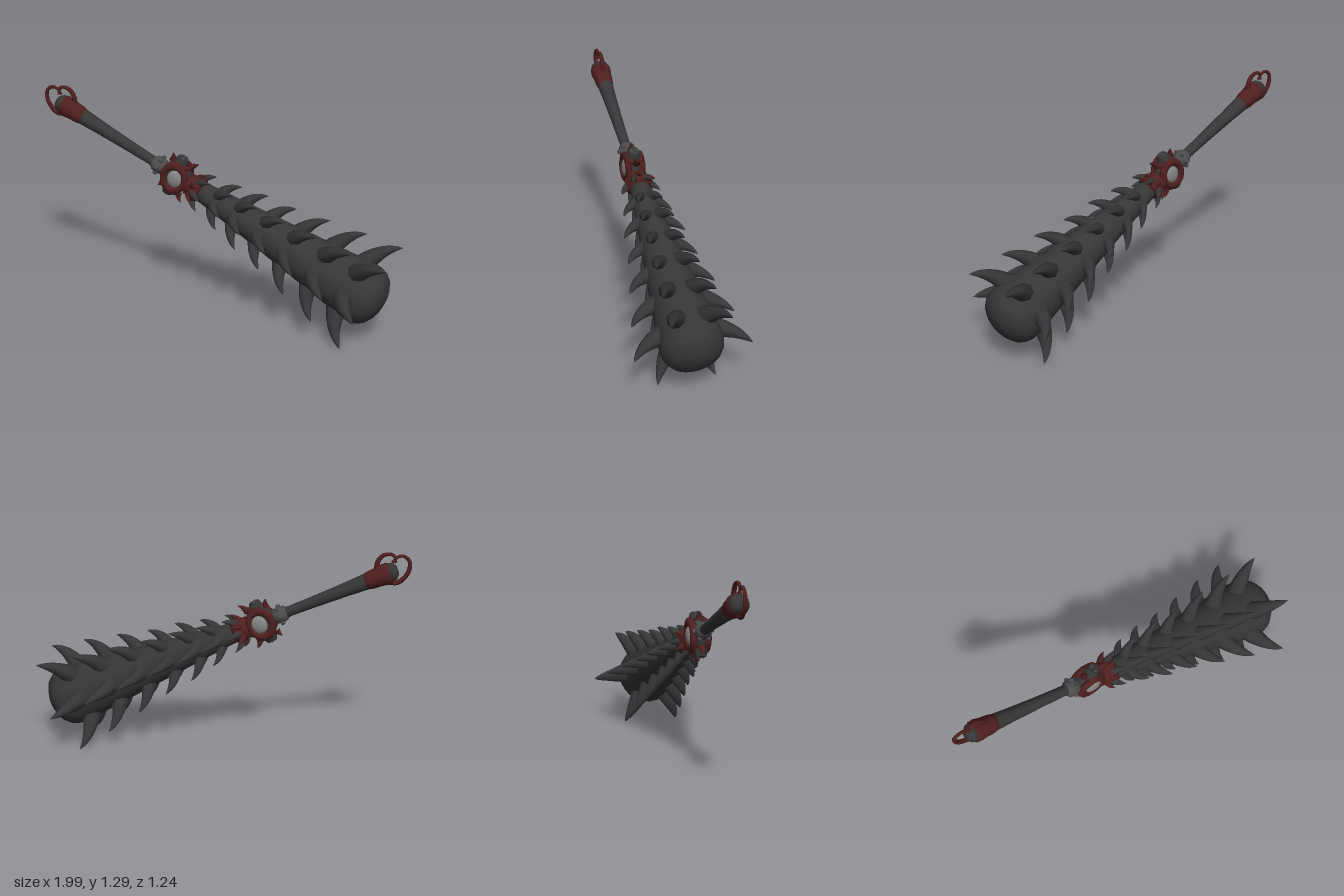
import * as THREE from 'three';

const V = (x, y, z) => new THREE.Vector3(x, y, z);
const mat = (name, color, side = THREE.FrontSide) => {
  const m = new THREE.MeshStandardMaterial({ color, side });
  m.name = name;
  return m;
};

export function createModel() {
  const dark = mat('darkIron', 0x363636);
  const red = mat('darkRed', 0x501f1f);
  const pale = mat('paleGem', 0x858585);
  const steel = mat('steel', 0x4c4c4c);

  // Everything is built along local +y (handle to head), then tilted as one.
  const club = new THREE.Group();
  club.name = 'spikedClub';
  const add = (name, geometry, material, parent = club) => {
    const m = new THREE.Mesh(geometry, material);
    m.name = name;
    parent.add(m);
    return m;
  };
  const lathe = (pts, sides = 20) =>
    new THREE.LatheGeometry(pts.map(([r, y]) => new THREE.Vector2(r, y)), sides);

  // Tube along a curve, its rings scaled by radiusAt(t)
  const taper = (curve, radiusAt, steps = 9, sides = 8) => {
    const g = new THREE.TubeGeometry(curve, steps, 1, sides, false);
    const p = g.attributes.position, v = V(0, 0, 0);
    for (let i = 0; i <= steps; i++) {
      const c = curve.getPointAt(i / steps);
      for (let j = 0; j <= sides; j++) {
        const k = i * (sides + 1) + j;
        v.fromBufferAttribute(p, k).sub(c).multiplyScalar(radiusAt(i / steps)).add(c);
        p.setXYZ(k, v.x, v.y, v.z);
      }
    }
    return g;
  };
  // Claw growing outward, then sweeping toward the head
  const claw = (name, angle, r0, y0, r1, y1, width, material) => {
    const at = (r, y) => V(r * Math.sin(angle), y, r * Math.cos(angle));
    const curve = new THREE.QuadraticBezierCurve3(
      at(r0, y0), at(r0 + (r1 - r0) * 0.68, y0 + (y1 - y0) * 0.28), at(r1, y1));
    add(name, taper(curve, t => width * Math.pow(1 - t, 0.8) + 0.0005), material);
  };

  // Flaring club body with a domed end
  add('clubBody', lathe([[0.035, -1.22], [0.056, -1.17], [0.085, -0.9], [0.122, -0.58],
    [0.157, -0.28], [0.18, -0.09], [0.18, -0.04], [0.168, 0], [0.14, 0.037],
    [0.09, 0.065], [0.045, 0.077], [0, 0.08]], 24), dark);

  // Seven rings of six hooked spikes: [ring position, tip radius]
  const rings = [[0, 0.337], [-0.214, 0.297], [-0.43, 0.25], [-0.627, 0.205],
    [-0.804, 0.182], [-0.96, 0.145], [-1.115, 0.116]];
  for (const [y, tip] of rings) {
    const k = tip / 0.337;
    const base = y - 0.04 - 0.1 * k;
    const r = (0.19 + 0.115 * base) * 0.8;
    for (let i = 0; i < 6; i++)
      claw('spike', i * Math.PI / 3, r, base, tip, y, 0.012 + 0.05 * k, dark);
  }

  // Handle
  add('handle', lathe([[0.05, -2.06], [0.047, -1.98], [0.04, -1.85], [0.033, -1.65],
    [0.03, -1.5], [0.036, -1.44], [0.036, -1.36]], 16), dark);
  add('handleCollar', lathe([[0.03, -1.485], [0.045, -1.47], [0.05, -1.44],
    [0.045, -1.41], [0.03, -1.4]], 12), steel);
  for (let i = 0; i < 6; i++) {
    const a = i * Math.PI / 3;
    add('collarStud', new THREE.SphereGeometry(0.014, 8, 6), steel)
      .position.set(0.05 * Math.sin(a), -1.44, 0.05 * Math.cos(a));
  }

  // Pommel cap and end knob
  add('pommelCap', lathe([[0.05, -2.125], [0.06, -2.115], [0.062, -2.085], [0.056, -2.05],
    [0.053, -2], [0.047, -1.975], [0.04, -1.97]], 16), red);
  add('pommelKnob', lathe([[0, -2.165], [0.03, -2.16], [0.05, -2.14], [0.054, -2.115],
    [0.03, -2.1]], 16), dark);

  // Two curled horns on the pommel, lying in the local xy plane
  const hornPaths = [
    [[-0.05, -2.09], [-0.07, -2.135], [-0.038, -2.21], [0.02, -2.242], [0.062, -2.22],
      [0.062, -2.175], [0.04, -2.168]],
    [[0.035, -2.05], [0.085, -2.08], [0.106, -2.125], [0.09, -2.17], [0.06, -2.175],
      [0.05, -2.15]]];
  for (const path of hornPaths) {
    const curve = new THREE.CatmullRomCurve3(path.map(([x, y]) => V(x, y, 0)));
    add('pommelHorn', taper(curve, t => 0.016 - 0.008 * t, 28), red);
  }

  // Guard: dark core, with a framed gem on each broad face
  const guard = new THREE.Group();
  guard.name = 'guard';
  guard.position.y = -1.32;
  club.add(guard);
  const core = add('guardCore', new THREE.SphereGeometry(1, 18, 12), dark, guard);
  core.scale.set(0.095, 0.09, 0.055);
  for (const s of [-1, 1]) {
    const frame = add('gemFrame', new THREE.TorusGeometry(0.07, 0.022, 8, 20), red, guard);
    frame.position.z = 0.04 * s;
    frame.scale.set(1.1, 0.95, 1);
    const gem = add('gem', new THREE.SphereGeometry(1, 16, 10), pale, guard);
    gem.position.set(0, 0.008, 0.042 * s);
    gem.scale.set(0.056, 0.05, 0.024);
    // Riveted plate on each narrow side
    const plate = add('sidePlate',
      new THREE.CylinderGeometry(0.032, 0.05, 0.045, 8), dark, guard);
    plate.position.set(0.105 * s, -0.01, 0);
    plate.rotation.z = -s * Math.PI / 2;
    for (const z of [-1, 1])
      add('rivet', new THREE.SphereGeometry(0.009, 8, 6), steel, guard)
        .position.set(0.126 * s, -0.01, 0.016 * z);
    const rim = add('sideRim', new THREE.TorusGeometry(0.045, 0.014, 6, 14), red, guard);
    rim.position.set(0.088 * s, 0.005, 0);
    rim.rotation.y = Math.PI / 2;
  }

  // Red collar joining guard and body, with small thorns
  add('bodyCollar', lathe([[0.04, -1.25], [0.066, -1.235], [0.06, -1.215], [0.078, -1.195],
    [0.082, -1.17], [0.07, -1.15], [0.045, -1.145]], 16), red);
  for (let i = 0; i < 6; i++)
    claw('collarThorn', (i + 0.5) * Math.PI / 3, 0.06, -1.2, 0.105, -1.16, 0.02, red);
  for (const s of [-1, 1]) {
    claw('guardThorn', s * Math.PI / 2, 0.085, -1.27, 0.14, -1.23, 0.024, red);
    claw('guardThorn', s * Math.PI / 2, 0.075, -1.38, 0.12, -1.4, 0.022, red);
  }

  // Tilt the club into place
  const axis = V(0.802, -0.429, -0.415).normalize();
  const back = V(axis.z, 0, -axis.x).normalize();
  const up = axis.clone().cross(back);
  club.quaternion.setFromRotationMatrix(new THREE.Matrix4().makeBasis(up, axis, back));
  club.position.set(0.8, 0.283, -0.33);

  const model = new THREE.Group();
  model.name = 'model';
  model.add(club);
  return model;
}
